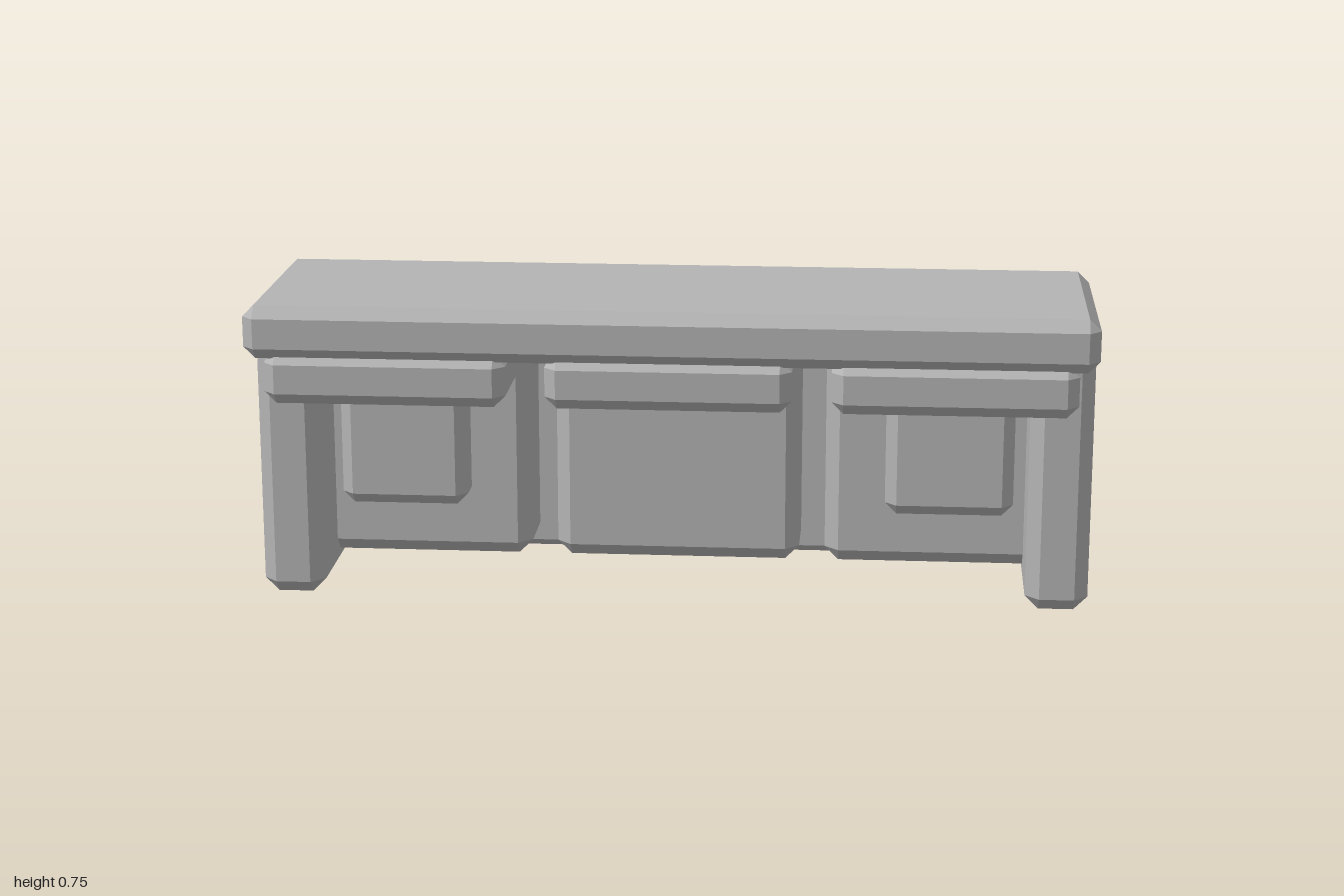
import * as THREE from 'three';
import { ConvexGeometry } from 'three/addons/geometries/ConvexGeometry.js';

const grey = new THREE.MeshStandardMaterial({ color: 0xb4b4b4 });
grey.name = 'grey';

// Box between two corners with every edge cut at 45 degrees by c
function chamferBox(name, [x0, y0, z0], [x1, y1, z1], c) {
  const half = [(x1 - x0) / 2, (y1 - y0) / 2, (z1 - z0) / 2];
  const points = [];
  for (const sx of [-1, 1]) for (const sy of [-1, 1]) for (const sz of [-1, 1]) {
    // three points per corner, one on each adjoining face
    for (let axis = 0; axis < 3; axis++) {
      const [hx, hy, hz] = half.map((h, i) => (i === axis ? h : h - c));
      points.push(new THREE.Vector3(sx * hx, sy * hy, sz * hz));
    }
  }
  const mesh = new THREE.Mesh(new ConvexGeometry(points), grey);
  mesh.name = name;
  mesh.position.set((x0 + x1) / 2, (y0 + y1) / 2, (z0 + z1) / 2);
  return mesh;
}

export function createModel() {
  const group = new THREE.Group();
  group.name = 'counter';
  const add = (...args) => group.add(chamferBox(...args));

  // Back board and overhanging top
  add('backBoard', [-1, 0.02, -0.28], [1, 0.722, -0.133], 0.018);
  add('topSlab', [-1, 0.622, -0.196], [1, 0.75, 0.375], 0.028);

  // Centre drawer with its lip
  add('centreDrawer', [-0.3, 0.05, -0.18], [0.3, 0.68, 0.045], 0.034);
  add('centreLip', [-0.29, 0.512, -0.02], [0.29, 0.638, 0.367], 0.028);

  // Mirrored parts
  for (const s of [-1, 1]) {
    const side = s > 0 ? 'left' : 'right';
    const pair = (name, xIn, xOut, y0, y1, z0, z1, c) =>
      add(side + name, [Math.min(s * xIn, s * xOut), y0, z0], [Math.max(s * xIn, s * xOut), y1, z1], c);

    pair('SidePanel', 0.85, 1, 0, 0.683, -0.17, 0.237, 0.033);
    pair('Drawer', 0.363, 0.94, 0.05, 0.68, -0.18, 0.045, 0.034);
    pair('Lip', 0.382, 0.955, 0.512, 0.638, -0.02, 0.367, 0.028);
    pair('RaisedPanel', 0.51, 0.82, 0.2, 0.51, -0.02, 0.13, 0.028);

    // Pegs on the back
    pair('LowerPeg', 0.827, 0.88, 0.122, 0.177, -0.373, -0.25, 0.005);
    pair('UpperPeg', 0.827, 0.88, 0.567, 0.622, -0.373, -0.25, 0.005);
  }
  return group;
}
